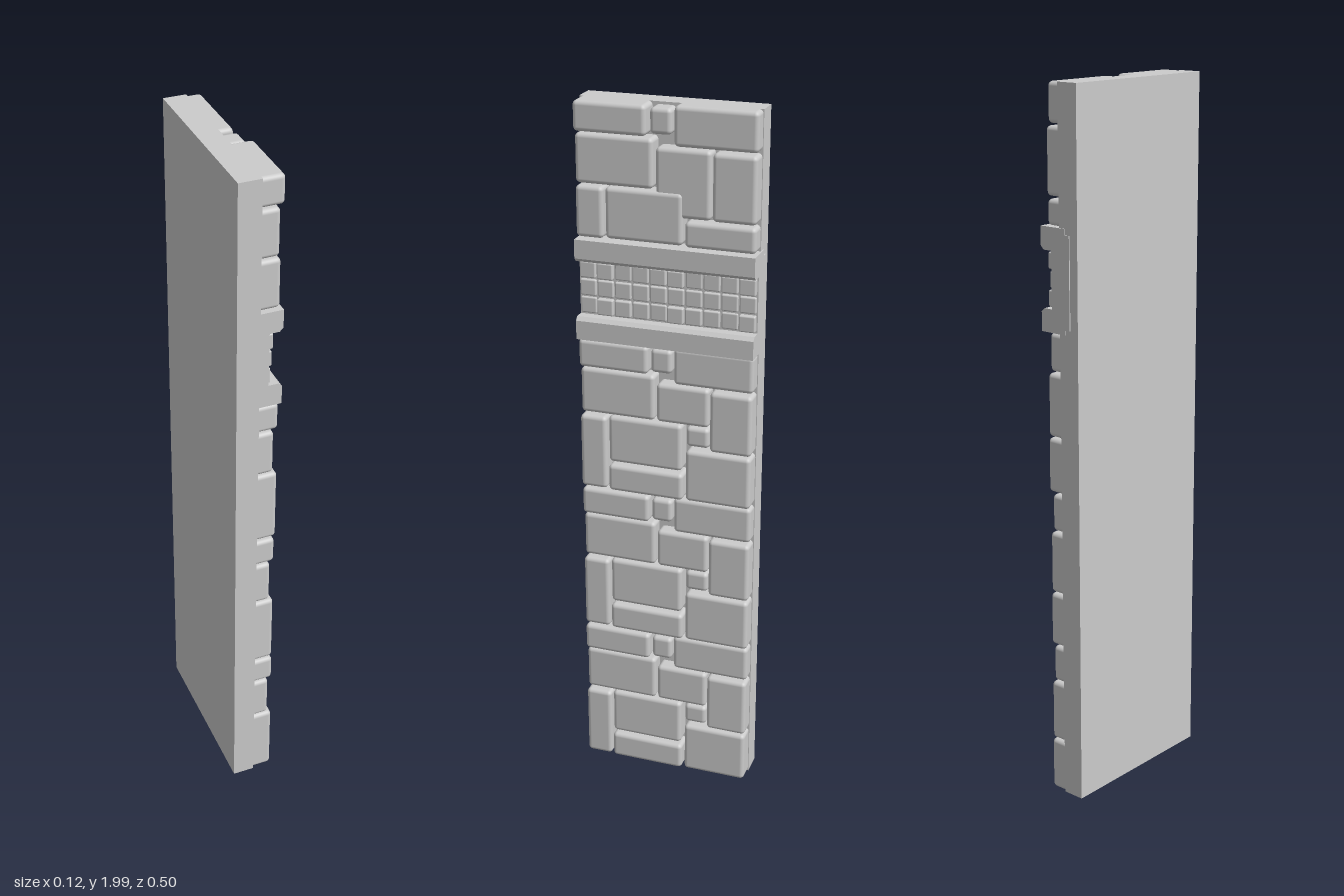
import * as THREE from 'three';
import { RoundedBoxGeometry } from 'three/addons/geometries/RoundedBoxGeometry.js';

const material = new THREE.MeshStandardMaterial({ color: 0xcccccc });

function add(parent, name, geometry, x, y, z) {
  const mesh = new THREE.Mesh(geometry, material);
  mesh.name = name;
  mesh.position.set(x, y, z);
  parent.add(mesh);
  return mesh;
}

// Rounded stone bedded slightly into the slab, standing out to x = depth
function stone(parent, name, z0, z1, y0, y1, depth, radius = 0.012) {
  const back = -radius;
  const geometry = new RoundedBoxGeometry(depth - back, y1 - y0, z1 - z0, 3, radius);
  add(parent, name, geometry, (depth + back) / 2, (y0 + y1) / 2, (z0 + z1) / 2);
}

// Stone pattern of one course block: z0, z1, then distances below the block top, then depth
const pattern = [
  [0.047, 0.246, 0.00, 0.08, 0.056],
  [-0.018, 0.041, 0.007, 0.075, 0.046],
  [-0.246, -0.022, 0.00, 0.105, 0.040],
  [0.032, 0.246, 0.086, 0.218, 0.045],
  [-0.123, 0.027, 0.108, 0.220, 0.042],
  [-0.246, -0.128, 0.111, 0.287, 0.049],
  [-0.123, -0.058, 0.225, 0.283, 0.039],
  [0.169, 0.246, 0.223, 0.441, 0.057],
  [-0.048, 0.165, 0.220, 0.358, 0.049],
  [-0.053, 0.165, 0.365, 0.444, 0.056],
  [-0.246, -0.060, 0.291, 0.444, 0.051],
];

// The shortened block at the top of the wall
const topPattern = [
  [0.047, 0.246, 0.00, 0.08, 0.061],
  [-0.018, 0.041, 0.007, 0.075, 0.046],
  [-0.246, -0.022, 0.00, 0.105, 0.039],
  [0.032, 0.246, 0.086, 0.218, 0.050],
  [-0.123, 0.027, 0.108, 0.290, 0.042],
  [-0.246, -0.128, 0.111, 0.290, 0.046],
  [0.169, 0.246, 0.223, 0.362, 0.054],
  [-0.048, 0.165, 0.223, 0.362, 0.048],
  [-0.246, -0.053, 0.297, 0.366, 0.044],
];

function stoneBlock(name, rows, top, depthShift) {
  const block = new THREE.Group();
  block.name = name;
  rows.forEach(([z0, z1, a, b, depth], i) =>
    stone(block, 'stone' + (i + 1), z0, z1, top - b, top - a, depth + depthShift));
  return block;
}

// Ledge with a bevelled outer edge on the side facing the tiles
function ledge(parent, name, y0, y1, bevelTop) {
  const shape = new THREE.Shape();
  const c = 0.01;
  shape.moveTo(-0.02, y0);
  if (bevelTop) {
    shape.lineTo(0.062, y0);
    shape.lineTo(0.062, y1 - c);
    shape.lineTo(0.062 - c, y1);
  } else {
    shape.lineTo(0.062 - c, y0);
    shape.lineTo(0.062, y0 + c);
    shape.lineTo(0.062, y1);
  }
  shape.lineTo(-0.02, y1);
  const geometry = new THREE.ExtrudeGeometry(shape, { depth: 0.499, bevelEnabled: false });
  add(parent, name, geometry, 0, 0, -0.251);
}

export function createModel() {
  const model = new THREE.Group();
  model.name = 'stoneWallPanel';

  // Plain backing slab
  add(model, 'backingSlab', new THREE.BoxGeometry(0.063, 1.99, 0.496), -0.0315, 1.005, 0);

  // Three repeated blocks below the frieze, one short block above
  [0.453, 0.901, 1.35].forEach((top, i) =>
    model.add(stoneBlock('stoneBlock' + (i + 1), pattern, top, i === 1 ? -0.002 : 0)));
  model.add(stoneBlock('topStoneBlock', topPattern, 2, 0));

  // Decorative frieze: bedding panel, two ledges and a grid of small tiles
  const frieze = new THREE.Group();
  frieze.name = 'frieze';
  model.add(frieze);
  add(frieze, 'tileBed', new THREE.BoxGeometry(0.062, 0.25, 0.499), -0.006, 1.49, -0.0015);
  ledge(frieze, 'lowerLedge', 1.352, 1.415, true);
  ledge(frieze, 'upperLedge', 1.570, 1.632, false);

  const columns = 10, rows = 3, pitchZ = 0.0497, pitchY = 0.0505;
  for (let r = 0; r < rows; r++) {
    for (let c = 0; c < columns; c++) {
      const z = 0.247 - (c + 0.5) * pitchZ;
      const y = 1.417 + (r + 0.5) * pitchY;
      const depth = 0.031 + 0.003 * ((c * 7 + r * 5 + c * r) % 4);
      stone(frieze, 'tile', z - 0.0225, z + 0.0225, y - 0.0225, y + 0.0225, depth, 0.004);
    }
  }
  return model;
}
